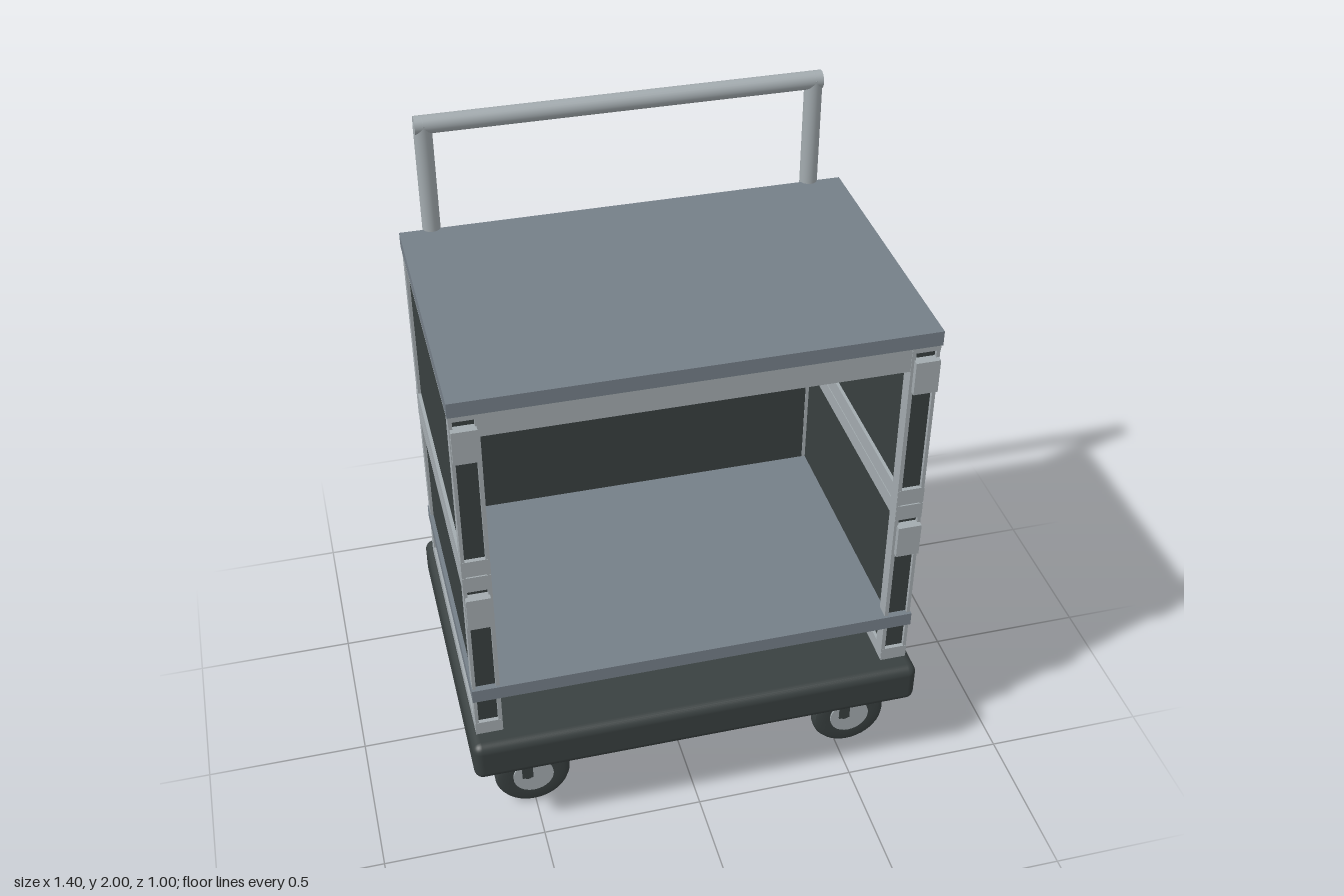
import * as THREE from 'three';
import { RoundedBoxGeometry } from 'three/addons/geometries/RoundedBoxGeometry.js';
import { toCreasedNormals } from 'three/addons/utils/BufferGeometryUtils.js';

const material = (name, color) => Object.assign(new THREE.MeshStandardMaterial({ color }), { name });

export function createModel() {
  const dark = material('charcoal', 0x394040);
  const slate = material('slateGrey', 0x757f88);
  const light = material('lightGrey', 0xa3abaf);

  const cart = new THREE.Group();
  cart.name = 'serviceCart';

  const add = (parent, name, geometry, mat, x = 0, y = 0, z = 0) => {
    const mesh = new THREE.Mesh(geometry, mat);
    mesh.name = name;
    mesh.position.set(x, y, z);
    parent.add(mesh);
    return mesh;
  };
  // box given by its limits on each axis
  const box = (parent, name, mat, x0, x1, y0, y1, z0, z1) =>
    add(parent, name, new THREE.BoxGeometry(Math.abs(x1 - x0), y1 - y0, z1 - z0), mat,
      (x0 + x1) / 2, (y0 + y1) / 2, (z0 + z1) / 2);
  const group = (name) => {
    const g = new THREE.Group();
    g.name = name;
    cart.add(g);
    return g;
  };

  // platform, shelf and top
  add(cart, 'platform', new RoundedBoxGeometry(1.396, 0.135, 1, 4, 0.028), dark, 0, 0.3525, 0);
  box(cart, 'shelf', slate, -0.68, 0.68, 0.56, 0.605, -0.442, 0.442);
  box(cart, 'topBoard', slate, -0.68, 0.68, 1.595, 1.64, -0.442, 0.442);
  box(cart, 'frontHeader', light, -0.6, 0.6, 1.515, 1.595, 0.39, 0.432);

  // side walls: dark core, framed on the inner and outer face
  for (const s of [-1, 1]) {
    const wall = group(s > 0 ? 'leftWall' : 'rightWall');
    box(wall, 'sidePanel', dark, s * 0.607, s * 0.668, 0.42, 1.595, -0.422, 0.422);
    for (const [a, b] of [[0.596, 0.608], [0.667, 0.677]]) {
      for (const [z0, z1] of [[0.39, 0.434], [-0.434, -0.39]])
        box(wall, 'sidePost', light, s * a, s * b, 0.42, 1.595, z0, z1);
    }
    for (const [y0, y1] of [[0.42, 0.465], [0.985, 1.037], [1.041, 1.095], [1.575, 1.595]])
      box(wall, 'sideRail', light, s * 0.597, s * 0.678, y0, y1, -0.435, 0.435);
    // hinge blocks on the front edge
    for (const [y0, y1] of [[0.857, 0.965], [1.447, 1.552]])
      box(wall, 'hingeBlock', light, s * 0.604, s * 0.675, y0, y1, 0.415, 0.451);
    // rear corner catches
    box(wall, 'rearCatch', light, s * 0.604, s * 0.675, 1.01, 1.075, -0.448, -0.42);
    box(wall, 'backClip', light, s * 0.522, s * 0.6, 1.01, 1.075, -0.446, -0.37);
  }

  // back wall in two halves with a narrow seam
  const back = group('backWall');
  box(back, 'lowerBackPanel', dark, -0.597, 0.597, 0.42, 1.037, -0.425, -0.392);
  box(back, 'upperBackPanel', dark, -0.597, 0.597, 1.043, 1.595, -0.425, -0.392);
  box(back, 'backSeam', dark, -0.597, 0.597, 1.03, 1.05, -0.415, -0.402);

  // push handle: square-cornered tube, its legs leaning slightly back
  const handle = group('handle');
  const r = 0.027, legX = 0.583, topY = 1.973;
  const tube = (name, from, to) => {
    const d = to.clone().sub(from);
    const m = add(handle, name, new THREE.CylinderGeometry(r, r, d.length(), 24), light);
    m.position.copy(from).add(to).multiplyScalar(0.5);
    m.quaternion.setFromUnitVectors(new THREE.Vector3(0, 1, 0), d.normalize());
  };
  for (const s of [-1, 1]) {
    tube('handleLeg', new THREE.Vector3(s * legX, 0.41, -0.439), new THREE.Vector3(s * legX, topY + 0.005, -0.453));
    add(handle, 'handleCorner', new THREE.SphereGeometry(r, 24, 16), light, s * legX, topY, -0.453);
  }
  tube('handleGrip', new THREE.Vector3(-legX - 0.024, topY, -0.453), new THREE.Vector3(legX + 0.024, topY, -0.453));

  // casters
  const tyreProfile = [[0.06, -0.022], [0.098, -0.026], [0.112, -0.02], [0.119, -0.008],
    [0.119, 0.008], [0.112, 0.02], [0.098, 0.026], [0.06, 0.022], [0.06, -0.022]]
    .map(([x, y]) => new THREE.Vector2(x, y));
  const tyre = toCreasedNormals(new THREE.LatheGeometry(tyreProfile, 40).rotateX(Math.PI / 2), 0.6);
  const hub = new THREE.CylinderGeometry(0.064, 0.064, 0.056, 32).rotateX(Math.PI / 2);
  const axle = new THREE.CylinderGeometry(0.014, 0.014, 0.068, 16).rotateX(Math.PI / 2);
  for (const x of [-0.522, 0.52]) {
    for (const z of [-0.34, 0.34]) {
      const caster = group('caster');
      caster.position.set(x, 0, z);
      add(caster, 'mountPlate', new THREE.CylinderGeometry(0.062, 0.062, 0.014, 24), dark, 0, 0.28, 0);
      add(caster, 'swivel', new THREE.CylinderGeometry(0.04, 0.04, 0.016, 24), light, 0, 0.266, 0);
      add(caster, 'stem', new THREE.CylinderGeometry(0.022, 0.022, 0.03, 20), light, 0, 0.246, 0);
      add(caster, 'tyre', tyre, dark, 0.018, 0.12, 0);
      add(caster, 'hub', hub, light, 0.018, 0.12, 0);
      add(caster, 'axle', axle, dark, 0, 0.13, 0);
      for (const s of [-1, 1]) {
        box(caster, 'forkArm', dark, -0.018, 0.016, 0.12, 0.195, s * 0.03 - 0.004, s * 0.03 + 0.004);
      }
    }
  }
  return cart;
}
